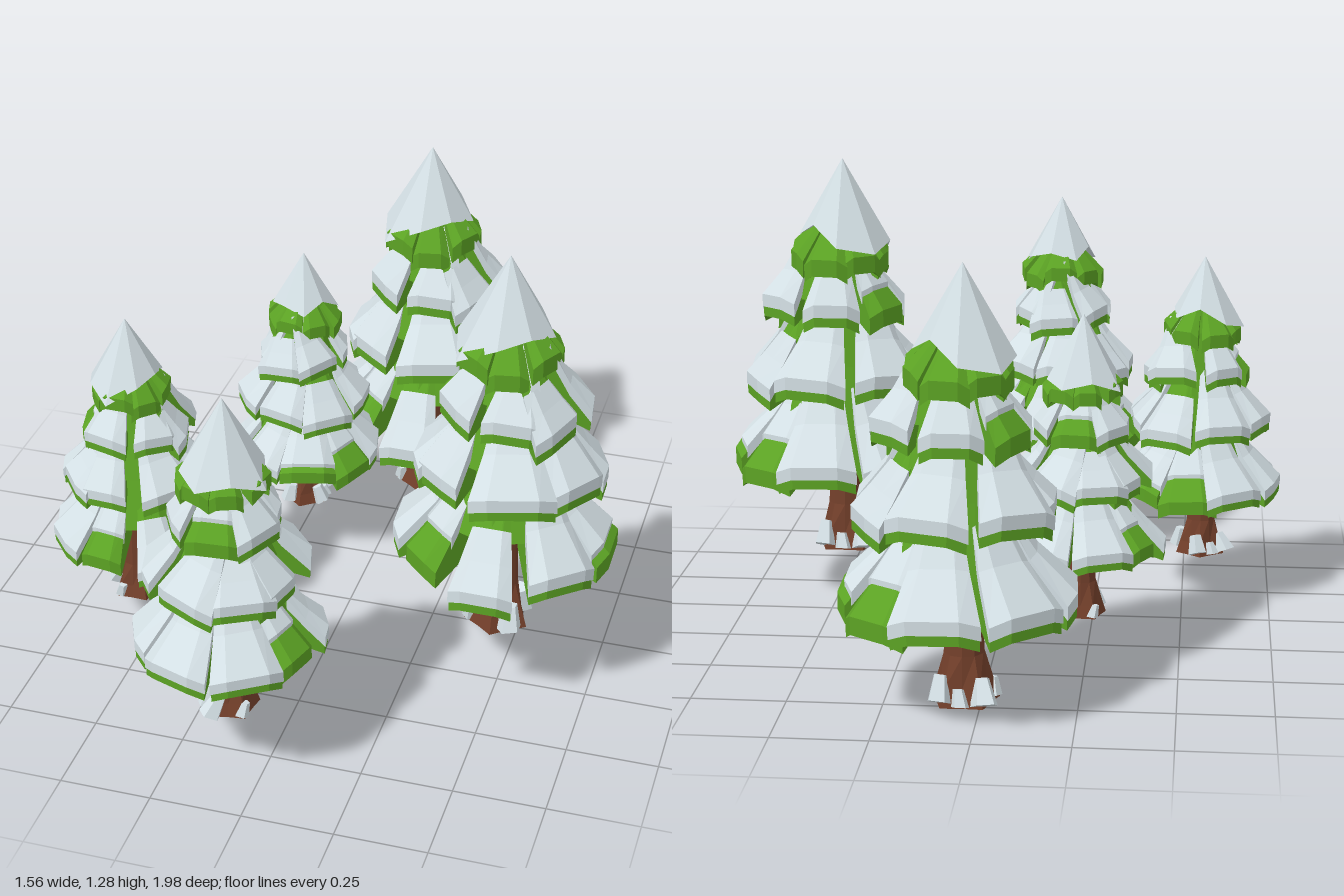
import * as THREE from 'three';

const mat = (name, color) => Object.assign(new THREE.MeshStandardMaterial({ color }), { name });
const snow = mat('snow', 0xd4e0e5);
const green = mat('needle green', 0x5ca324);
const bark = mat('bark brown', 0x74402b);

// Small repeatable wobble in -1..1
const wobble = (i) => Math.sin(i * 12.9898 + 1.7) * Math.cos(i * 4.37);

// Move every vertex by a rule, then facet the result
function reshape(geometry, rule) {
  const p = geometry.attributes.position;
  const v = new THREE.Vector3();
  for (let i = 0; i < p.count; i++) {
    v.fromBufferAttribute(p, i);
    rule(v);
    p.setXYZ(i, v.x, v.y, v.z);
  }
  const flat = geometry.toNonIndexed();
  flat.computeVertexNormals();
  return flat;
}

function add(parent, name, geometry, material) {
  const mesh = new THREE.Mesh(geometry, material);
  mesh.name = name;
  parent.add(mesh);
  return mesh;
}

// Drooping wedge pointing to +z with bevelled sides; from/to cut it along its length.
// fill 1 gives a nearly level underside, fill 0 an even layer.
function wedge({ r0, y0, r1, y1, half, thick, lift = 0, from = 0, to = 1, fill = 0 }) {
  return reshape(new THREE.BoxGeometry(1, 1, 1, 3, 1, 2), (v) => {
    const t = from + (to - from) * (v.z + 0.5);
    const edge = Math.abs(v.x) > 0.4;
    const a = Math.sign(v.x) * half * (edge ? 1 : 0.55);
    const r = (r0 + (r1 - r0) * t) * (edge ? 0.97 : 1);
    const droop = edge ? 0.02 * t : 0;
    const top = y0 + (y1 - y0) * Math.pow(t, 0.75) - droop;
    const level = y1 + (y0 - y1) * 0.2 * (1 - t) - droop;
    const y = v.y > 0 ? top + lift : top + (level - top) * fill + lift - thick;
    v.set(r * Math.sin(a), y, r * Math.cos(a));
  });
}

// Snow span along a bough: S full, L lower part, P short of the rim, H upper half, G none
const spans = { S: [0, 1], L: [0.42, 1], P: [0.1, 0.9], H: [0, 0.66] };

// One ring of boughs, counted from +z towards +x
function addTier(tree, index, { r0, y0, r1, y1, code, core, shift, tilt, turn = 0, lengths = [], widths = [] }) {
  const tier = new THREE.Group();
  tier.name = 'boughTier' + index;
  tier.position.x = shift;
  const n = code.length;
  for (let k = 0; k < n; k++) {
    const w = wobble(index * 10 + k);
    const shape = {
      r0, y0, r1: r1 * (lengths[k] ?? 1 + 0.06 * w),
      y1: y1 + 0.022 * wobble(k + index * 7),
      half: (Math.PI / n) * (widths[k] ?? 0.97 + 0.06 * w), thick: 0.048,
    };
    const bough = new THREE.Group();
    bough.name = 'bough';
    bough.rotation.y = turn + (k * Math.PI * 2) / n + w * 0.09;
    bough.rotation.z = tilt * wobble(k * 3 + index);
    add(bough, 'needles', wedge({ ...shape, fill: 1 }), green);
    const span = spans[code[k]];
    if (span) {
      const cover = {
        ...shape, r1: shape.r1 * 1.01, half: shape.half * 1.03, thick: 0.036, lift: 0.015, from: span[0], to: span[1],
      };
      add(bough, 'snowCover', wedge(cover), snow);
    }
    tier.add(bough);
  }
  // Green core filling the gaps between boughs
  const [rTop, yTop, rBottom, yBottom] = core;
  const cone = new THREE.CylinderGeometry(rTop, rBottom, yTop - yBottom, 8);
  cone.translate(0, (yTop + yBottom) / 2, 0);
  add(tier, 'needleCore', reshape(cone, () => {}), green);
  tree.add(tier);
}

function createTree() {
  const tree = new THREE.Group();

  // Trunk with flared, uneven roots
  const profile = [[0.083, 0], [0.07, 0.045], [0.053, 0.13], [0.047, 0.3], [0.03, 0.6]];
  add(tree, 'trunk', reshape(new THREE.CylinderGeometry(1, 1, 1, 10, 4), (v) => {
    const row = Math.round((v.y + 0.5) * 4);
    const [r, y] = profile[row];
    const flare = row < 2 ? 1 + 0.15 * Math.cos(5 * Math.atan2(v.x, v.z) + 0.6) : 1;
    v.set(v.x * r * flare, y, v.z * r * flare);
  }), bark);

  // Snow clumps on the roots
  const clumps = [
    [0.047, 0.05, 0.062, 0.036], [0.055, 0.046, -0.055, 0.036],
    [-0.053, 0.042, -0.06, 0.037], [-0.07, 0.028, 0.028, 0.024], [0.005, 0.03, -0.078, 0.024],
  ];
  for (const [x, y, z, s] of clumps) {
    const lump = new THREE.CylinderGeometry(s * 0.6, s, s * 1.9, 5);
    const clump = add(tree, 'rootSnow', reshape(lump, (v) => { v.x += v.y * 0.15; }), snow);
    clump.position.set(x, y, z);
    clump.rotation.set(-z * 4, x * 20, x * 4);
  }

  // Tiers of boughs from the bottom up
  addTier(tree, 4, {
    r0: 0.1, y0: 0.54, r1: 0.3, y1: 0.29, code: 'LSPHSSSH', core: [0.1, 0.6, 0.2, 0.37], shift: 0.015, tilt: 0.07,
    lengths: [1.04, 0.97, 1.01, 1, 1, 1.01, 1.02, 0.95], widths: [0.72, 0.9, 1, 0.96, 1, 1, 0.98, 0.75],
  });
  addTier(tree, 3, {
    r0: 0.08, y0: 0.75, r1: 0.255, y1: 0.525, code: 'SSLSSLS', turn: 0.2, core: [0.08, 0.8, 0.17, 0.56], shift: 0.025, tilt: 0.09,
  });
  addTier(tree, 2, {
    r0: 0.06, y0: 0.9, r1: 0.185, y1: 0.72, code: 'SLSSHS', turn: 0.1, core: [0.06, 0.95, 0.125, 0.74], shift: 0.02, tilt: 0.09,
  });
  addTier(tree, 1, {
    r0: 0.02, y0: 1.03, r1: 0.143, y1: 0.87, code: 'GGGGGGG', turn: 0.2, core: [0.01, 1.04, 0.1, 0.86], shift: 0.008, tilt: 0,
  });

  // Pointed snow cap, its ragged rim shortest towards +x
  add(tree, 'snowCap', reshape(new THREE.ConeGeometry(1, 1, 8), (v) => {
    const a = Math.atan2(v.x, v.z);
    if (v.y > 0) v.set(0, 1.13, 0);
    else {
      const hub = Math.hypot(v.x, v.z) < 0.1;
      const y = hub ? 0.98 : 0.905 + 0.03 * Math.sin(a) + 0.026 * Math.sin(a * 3 + 0.4);
      const r = (1.13 - y) * 0.58;
      v.set(v.x * r, y, v.z * r);
    }
  }), snow);
  return tree;
}

export function createModel() {
  const model = new THREE.Group();
  model.name = 'snowyPines';
  const tree = createTree();
  // name, x, base y, z, scale, turn in degrees
  const places = [
    ['rightTallPine', 0.475, 0.145, 0.16, 1, 0],
    ['backPine', 0.045, 0, -0.7, 1.01, 0],
    ['frontPine', -0.11, 0.145, 0.74, 0.832, 118],
    ['sidePine', -0.55, 0.115, 0.27, 0.775, 36],
    ['smallPine', -0.235, 0.115, -0.325, 0.73, -73],
  ];
  for (const [name, x, y, z, s, turn] of places) {
    const pine = tree.clone();
    pine.name = name;
    pine.position.set(x, y, z);
    pine.scale.setScalar(s);
    pine.rotation.y = THREE.MathUtils.degToRad(turn);
    model.add(pine);
  }
  return model;
}
